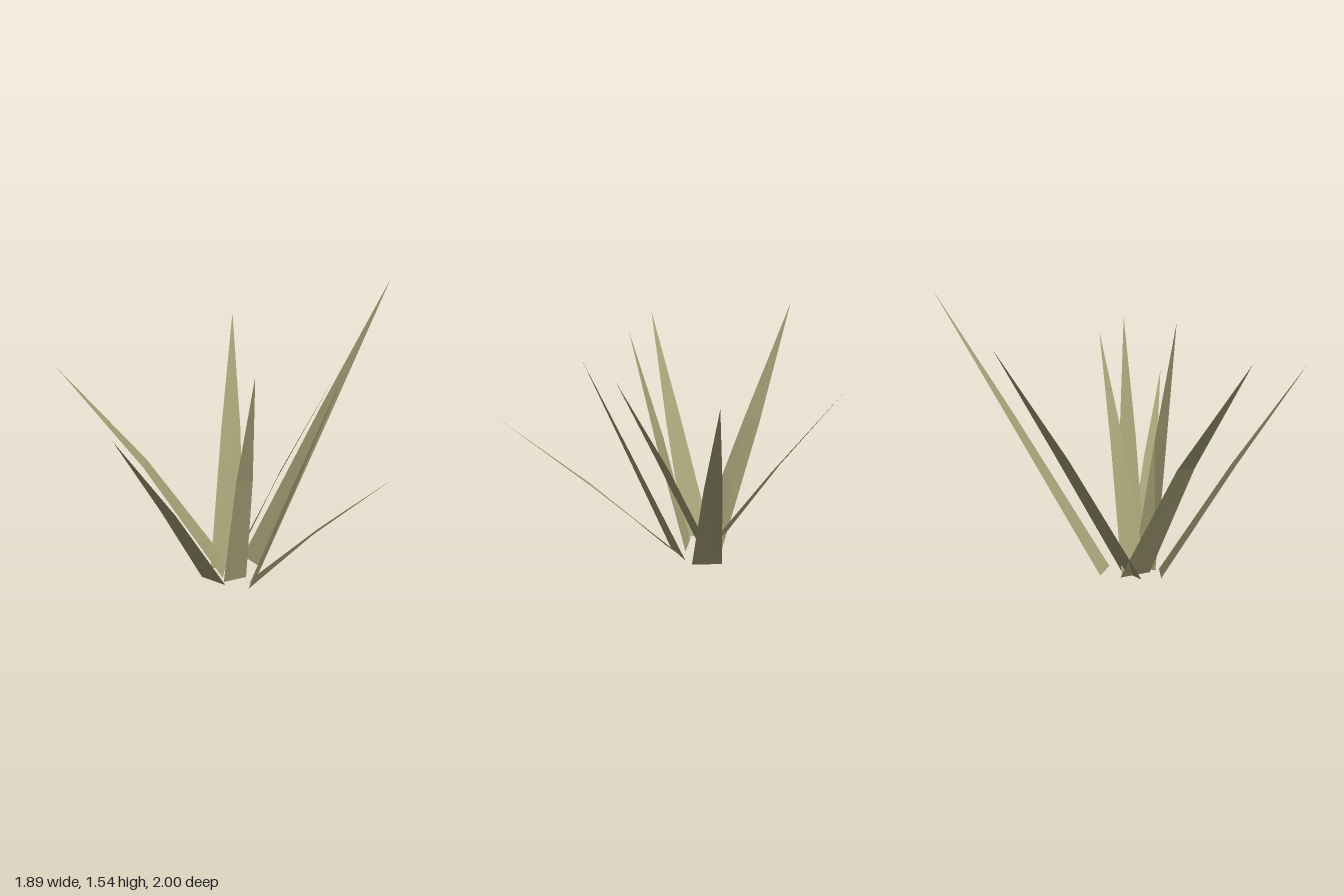
import * as THREE from 'three';

// Each blade: base left, base right, middle left, middle right, tip
const BLADES = [
  ['backTallBlade', [-0.165, 0, -0.115], [-0.005, 0, -0.045], [0.1, 0.85, -0.6], [0.185, 0.84, -0.555], [0.335, 1.545, -1]],
  ['backRightBlade', [-0.262, 0, 0.1], [-0.09, 0, 0.01], [-0.415, 0.71, -0.305], [-0.32, 0.71, -0.365], [-0.548, 1.3, -0.68]],
  ['frontBlade', [-0.255, 0, 0.21], [-0.09, 0, 0.225], [-0.25, 0.61, 0.61], [-0.155, 0.61, 0.615], [-0.243, 1.165, 1]],
  ['rightBlade', [-0.215, 0, -0.01], [-0.143, 0, 0.164], [-0.59, 0.68, 0.23], [-0.545, 0.68, 0.33], [-0.945, 1.262, 0.52]],
  ['innerBlade', [-0.16, 0, 0.005], [-0.138, 0, 0.143], [0.13, 0.67, -0.02], [0.15, 0.66, 0.06], [0.435, 1.283, -0.05]],
  ['leftInnerBlade', [0.01, 0, 0.01], [0.03, 0, 0.165], [0.285, 0.69, 0.05], [0.292, 0.69, 0.145], [0.55, 1.355, 0.108]],
  ['leftLowBlade', [0.01, 0, 0.06], [0.045, 0, 0.2], [0.49, 0.52, 0.225], [0.485, 0.51, 0.3], [0.945, 0.98, 0.397]],
  ['frontLeftBlade', [-0.115, 0, 0.2], [-0.03, 0, 0.09], [0.02, 0.7, 0.28], [0.09, 0.7, 0.225], [0.18, 1.355, 0.36]],
];

// Flat tapering leaf: a lower quad and a pointed upper triangle
function bladeGeometry(baseL, baseR, midL, midR, tip) {
  const corners = [baseL, baseR, midR, baseL, midR, midL, midL, midR, tip];
  const geometry = new THREE.BufferGeometry();
  geometry.setAttribute('position', new THREE.Float32BufferAttribute(corners.flat(), 3));
  geometry.computeVertexNormals();
  return geometry;
}

export function createModel() {
  const dryGrass = new THREE.MeshStandardMaterial({ color: 0xa39d74, side: THREE.DoubleSide, flatShading: true });
  dryGrass.name = 'dryGrass';
  const tuft = new THREE.Group();
  tuft.name = 'grassTuft';
  for (const [name, ...points] of BLADES) {
    const blade = new THREE.Mesh(bladeGeometry(...points), dryGrass);
    blade.name = name;
    tuft.add(blade);
  }
  return tuft;
}
